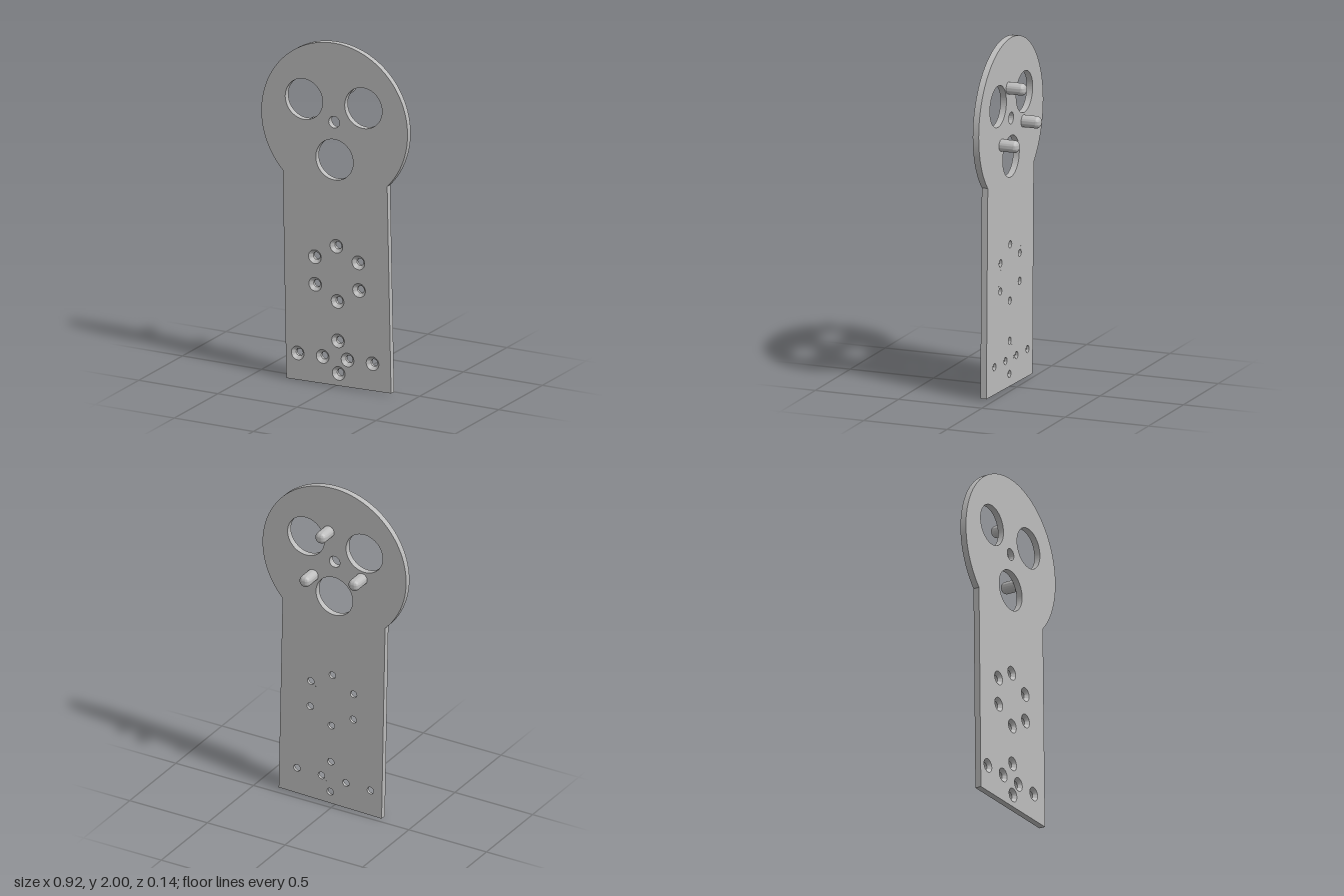
import * as THREE from 'three';
import { toCreasedNormals } from 'three/addons/utils/BufferGeometryUtils.js';

const FRONT = 0.071, THICK = 0.036, BACK = FRONT - THICK;
const SEGMENTS = 64;
const HEAD = { x: 0, y: 1.538, r: 0.462 };
const SINK_R = 0.04, BORE_R = 0.021, SINK_DEPTH = 0.02;

// Screw hole centres: a ring of six, then the lower group
const SCREWS = [
  [0.012, 0.82], [0.151, 0.745], [0.155, 0.585], [0.019, 0.5], [-0.122, 0.578], [-0.124, 0.738],
  [0.022, 0.271], [-0.233, 0.161], [-0.075, 0.165], [0.082, 0.169], [0.24, 0.172], [0.026, 0.082],
];
const WINDOWS = [[-0.193, 1.645], [0.183, 1.65], [0, 1.322]];
const PEGS = [[0.036, 1.721], [-0.177, 1.481], [0.138, 1.418]];

function addHole(shape, x, y, r) {
  const hole = new THREE.Path();
  hole.absarc(x, y, r, 0, Math.PI * 2, true);
  shape.holes.push(hole);
}

// Revolves a profile and points its axis along +z
function turned(points) {
  const g = new THREE.LatheGeometry(points.map(([r, h]) => new THREE.Vector2(r, h)), SEGMENTS);
  return toCreasedNormals(g.rotateX(Math.PI / 2), 0.5);
}

export function createModel() {
  const group = new THREE.Group();
  const grey = new THREE.MeshStandardMaterial({ color: 0xbcbcbc });
  grey.name = 'grey';
  const add = (name, geometry, x = 0, y = 0, z = 0) => {
    const mesh = new THREE.Mesh(geometry, grey);
    mesh.name = name;
    mesh.position.set(x, y, z);
    group.add(mesh);
  };

  // Plate: slightly skewed handle running into a round head
  const outline = new THREE.Shape();
  outline.moveTo(-0.305, 0.004);
  outline.lineTo(0.357, 0.017);
  outline.lineTo(0.333, 1.218);
  outline.absarc(HEAD.x, HEAD.y, HEAD.r,
    Math.atan2(1.218 - HEAD.y, 0.333), Math.PI + Math.atan2(HEAD.y - 1.212, 0.326), false);
  outline.closePath();
  WINDOWS.forEach(([x, y]) => addHole(outline, x, y, 0.118));
  addHole(outline, -0.002, 1.54, 0.034);
  SCREWS.forEach(([x, y]) => addHole(outline, x, y, SINK_R));
  const plate = new THREE.ExtrudeGeometry(outline, { depth: THICK, bevelEnabled: false, curveSegments: SEGMENTS });
  add('plate', toCreasedNormals(plate, 0.5), 0, 0, BACK);

  // Countersunk seats: cone at the front, narrow bore behind
  const seat = turned([[SINK_R, THICK], [BORE_R, THICK - SINK_DEPTH], [BORE_R, 0], [SINK_R, 0]]);
  SCREWS.forEach(([x, y]) => add('screwSeat', seat, x, y, BACK));

  // Round-ended pegs on the back of the head
  const R = 0.0345, FILLET = 0.027, TIP = -0.071;
  const profile = [[0, TIP]];
  for (let i = 0; i <= 10; i++) {
    const a = (i / 10) * Math.PI / 2;
    profile.push([R - FILLET + FILLET * Math.sin(a), TIP + FILLET * (1 - Math.cos(a))]);
  }
  profile.push([R, BACK + 0.005]);
  const peg = turned(profile);
  PEGS.forEach(([x, y]) => add('peg', peg, x, y, 0));

  // Very slight lean, foot towards the back
  group.rotation.x = 0.0012;
  group.position.z = -0.002;
  const model = new THREE.Group();
  model.name = 'mountingPlate';
  model.add(group);
  return model;
}
